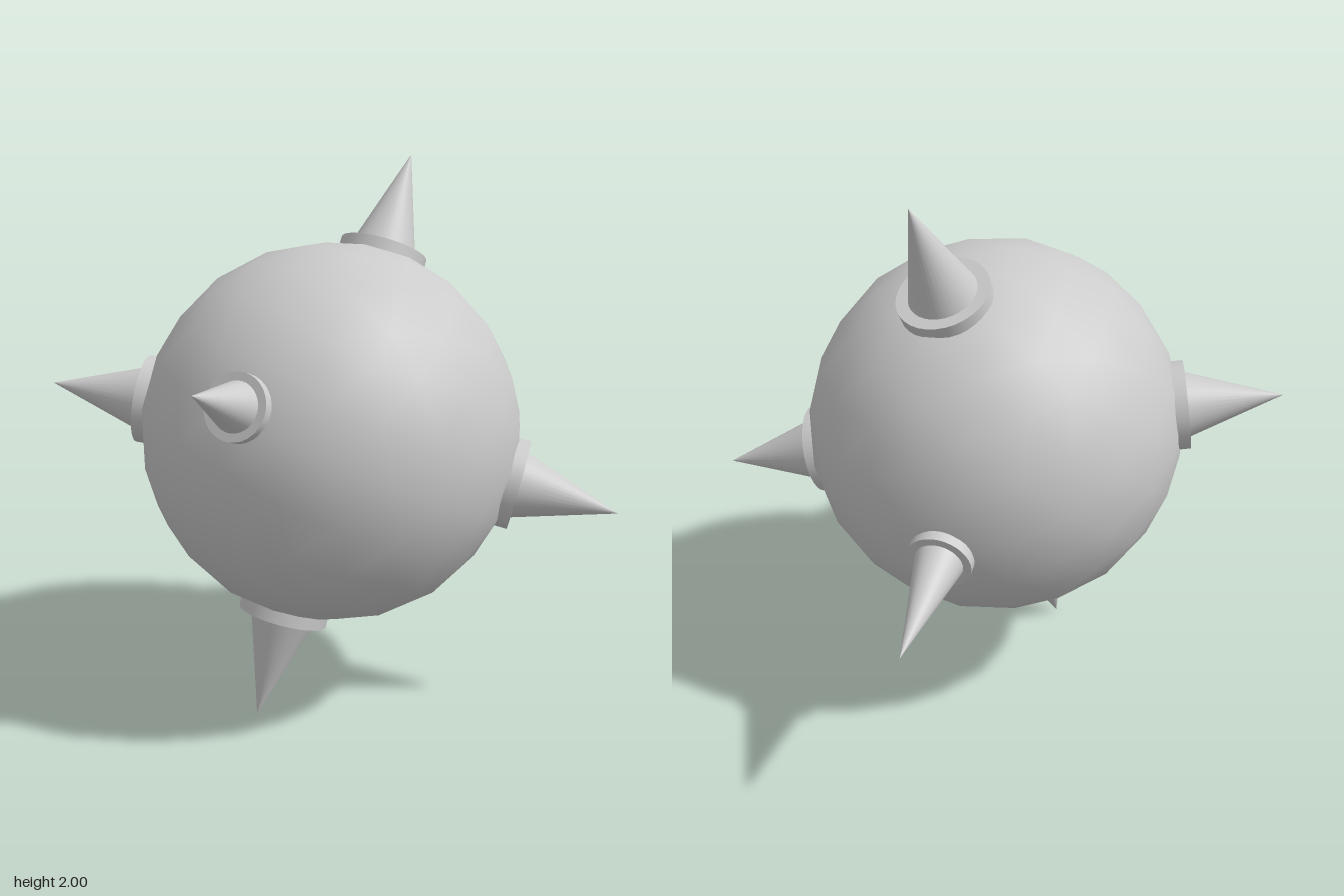
import * as THREE from 'three';

const CENTER = new THREE.Vector3(0.02, 1.035, 0.065);
const RADIUS = 0.69;
const COLLAR_TOP = 0.708; // distance of the collar's outer face from the ball centre

// tip position, collar radius, spike base radius
const SPIKES = [
  { tip: [0.43, 2.0, -0.2], collar: 0.163, base: 0.12 },
  { tip: [-0.31, 0.0, 0.18], collar: 0.165, base: 0.12 },
  { tip: [0.905, 0.8, 0.615], collar: 0.163, base: 0.12 },
  { tip: [-0.91, 1.18, -0.42], collar: 0.163, base: 0.12 },
  { tip: [-0.64, 1.38, 0.68], collar: 0.114, base: 0.085 },
  { tip: [0.72, 0.755, -0.755], collar: 0.114, base: 0.085 },
];

export function createModel() {
  const group = new THREE.Group();
  group.name = 'spikedBall';
  const material = new THREE.MeshStandardMaterial({ color: 0xcccccc });

  function add(parent, name, geometry, y = 0) {
    const mesh = new THREE.Mesh(geometry, material);
    mesh.name = name;
    mesh.position.y = y;
    parent.add(mesh);
    return mesh;
  }

  // Ball body, slightly tilted
  const ball = add(group, 'ball', new THREE.IcosahedronGeometry(RADIUS, 3));
  ball.position.copy(CENTER);
  ball.rotation.set(0, -0.05, 0.12);

  // Radial spikes, each seated in a flat collar
  SPIKES.forEach(({ tip, collar, base }, i) => {
    const axis = new THREE.Vector3(...tip).sub(CENTER);
    const reach = axis.length();
    const spike = new THREE.Group();
    spike.name = `spike${i + 1}`;
    spike.position.copy(CENTER);
    spike.quaternion.setFromUnitVectors(new THREE.Vector3(0, 1, 0), axis.normalize());

    const bottom = 0.655;
    const height = COLLAR_TOP - bottom;
    add(spike, 'collar', new THREE.CylinderGeometry(collar, collar, height, 32), bottom + height / 2);

    const length = reach - COLLAR_TOP;
    add(spike, 'cone', new THREE.ConeGeometry(base, length, 32, 1, true), COLLAR_TOP + length / 2);
    group.add(spike);
  });

  return group;
}
